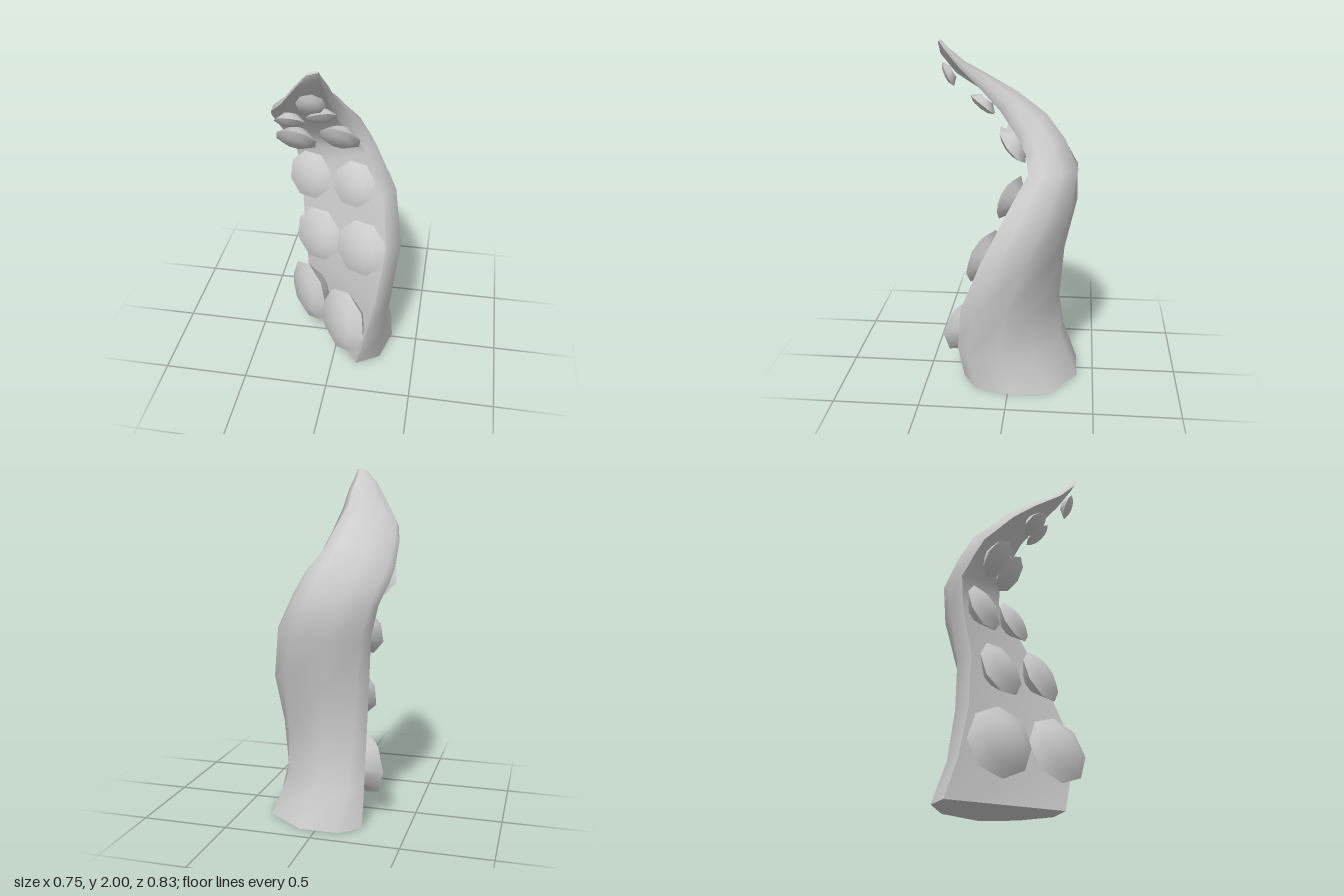
import * as THREE from 'three';
import { toCreasedNormals } from 'three/addons/utils/BufferGeometryUtils.js';

const material = new THREE.MeshStandardMaterial({ color: 0xcccccc });
const V = (p) => new THREE.Vector3(...p);

// Each section: left edge of the flat inner face, its right edge, and the outermost point of the back
const SECTIONS = [
  [[0.15, 0, 0.28], [-0.245, 0, -0.3], [0.3, 0, -0.26]],
  [[0.2, 0.22, 0.31], [-0.24, 0.22, -0.23], [0.23, 0.22, -0.16]],
  [[0.26, 0.5, 0.28], [-0.24, 0.5, -0.18], [0.21, 0.5, -0.18]],
  [[0.3, 0.8, 0.16], [-0.25, 0.8, -0.17], [0.21, 0.8, -0.25]],
  [[0.26, 1.08, 0.02], [-0.27, 1.08, -0.22], [0.14, 1.09, -0.35]],
  [[0.14, 1.29, -0.1], [-0.31, 1.26, -0.22], [0.03, 1.3, -0.38]],
  [[0.08, 1.39, -0.08], [-0.35, 1.37, -0.14], [-0.03, 1.46, -0.3]],
  [[0.02, 1.47, -0.03], [-0.37, 1.45, -0.08], [-0.09, 1.59, -0.19]],
  [[-0.02, 1.61, 0.07], [-0.36, 1.59, 0.09], [-0.11, 1.71, -0.02]],
  [[-0.03, 1.74, 0.19], [-0.33, 1.67, 0.21], [-0.13, 1.8, 0.15]],
  [[-0.025, 1.85, 0.3], [-0.24, 1.785, 0.35], [-0.1, 1.875, 0.28]],
  [[-0.03, 1.955, 0.387], [-0.15, 1.91, 0.425], [-0.09, 1.96, 0.38]],
  [[-0.035, 1.995, 0.412], [-0.09, 1.985, 0.428], [-0.06, 2, 0.405]],
];

// D-shaped outline: fraction along the flat edge, fraction of the depth
const OUTLINE = [[1, 0], [1.03, 0.38], [0.62, 0.77], [0.06, 1], [-0.68, 0.78], [-1.05, 0.34], [-1, 0]];

function ringOf([left, right, apex]) {
  const mid = V(left).add(V(right)).multiplyScalar(0.5);
  const half = V(left).sub(mid);
  const depth = V(apex).sub(mid);
  return OUTLINE.map(([a, d]) => mid.clone().addScaledVector(half, a).addScaledVector(depth, d));
}

function indexed(points, index) {
  const geometry = new THREE.BufferGeometry().setFromPoints(points);
  geometry.setIndex(index);
  geometry.computeVertexNormals();
  return geometry;
}

// Skin between rows of points
function loft(rows) {
  const n = rows[0].length;
  const index = [];
  for (let j = 0; j < rows.length - 1; j++) {
    for (let i = 0; i < n - 1; i++) {
      const a = j * n + i, d = a + n;
      index.push(a, a + 1, d + 1, a, d + 1, d);
    }
  }
  return indexed(rows.flat(), index);
}

// Flat end, fanned from its first corner
function cap(ring, down) {
  const index = [];
  for (let i = 1; i < ring.length - 1; i++) index.push(0, down ? i + 1 : i, down ? i : i + 1);
  return indexed(ring, index);
}

// Suckers: centre, facing direction, radius
const SUCKERS = [
  [[0.058, 0.32, 0.26], [-0.67, 0.2, 0.72], 0.2],
  [[-0.205, 0.3, -0.01], [-0.74, 0.05, 0.67], 0.2],
  [[0.15, 0.8, 0.16], [-0.4, 0.3, 0.87], 0.168],
  [[-0.137, 0.745, -0.02], [-0.48, 0.25, 0.84], 0.168],
  [[0.085, 1.14, 0.01], [-0.35, 0.35, 0.87], 0.138],
  [[-0.197, 1.105, -0.11], [-0.38, 0.25, 0.89], 0.147],
  [[0, 1.42, 0], [-0.1, -0.6, 0.77], 0.124],
  [[-0.255, 1.38, -0.02], [-0.1, -0.63, 0.77], 0.124],
  [[-0.065, 1.635, 0.18], [0.2, -0.78, 0.62], 0.088],
  [[-0.235, 1.605, 0.195], [0, -0.78, 0.62], 0.088],
  [[-0.082, 1.805, 0.375], [0.1, -0.42, 0.9], 0.077],
];

export function createModel() {
  const group = new THREE.Group();
  const add = (name, geometry) => {
    const mesh = new THREE.Mesh(geometry, material);
    mesh.name = name;
    group.add(mesh);
    return mesh;
  };

  // Tapering arm: rounded back and flat inner face meet at sharp edges
  const rings = SECTIONS.map(ringOf);
  add('armBack', loft(rings));
  add('armInnerFace', loft(rings.map((r) => [r[r.length - 1], r[0]])));
  add('armBase', cap(rings[0], true));
  add('armTip', cap(rings[rings.length - 1], false));

  // Paired suckers: shallow dome in front, narrowing towards the arm
  const profile = [[0.45, -0.5], [1, -0.03], [0.6, 0.18], [0, 0.25]].map(([x, y]) => new THREE.Vector2(x, y));
  const suckerGeometry = toCreasedNormals(new THREE.LatheGeometry(profile, 8), 0.7);
  const up = new THREE.Vector3(0, 1, 0);
  SUCKERS.forEach(([centre, facing, radius], i) => {
    const sucker = add(`sucker${i + 1}`, suckerGeometry);
    sucker.position.set(...centre);
    sucker.quaternion.setFromUnitVectors(up, V(facing).normalize());
    sucker.scale.setScalar(radius);
  });

  return group;
}
